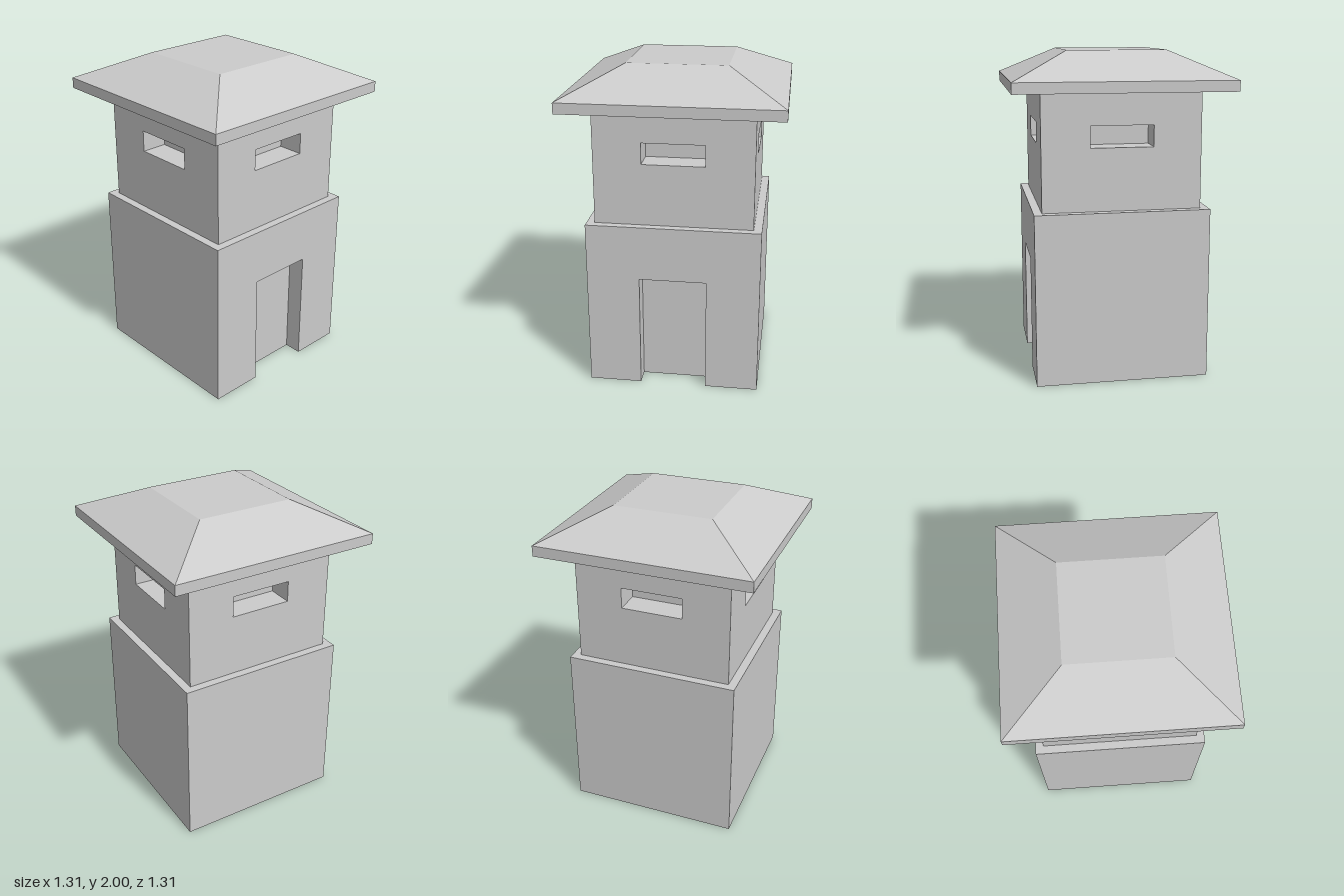
import * as THREE from 'three';

const material = new THREE.MeshStandardMaterial({
  color: 0xcccccc, flatShading: true, side: THREE.DoubleSide,
});

function mesh(name, geometry) {
  const m = new THREE.Mesh(geometry, material);
  m.name = name;
  return m;
}

// Square surface swept through [half width, height] steps, bottom to top
function squareProfile(steps) {
  const points = steps.map(([half, y]) => new THREE.Vector2(half * Math.SQRT2, y));
  const g = new THREE.LatheGeometry(points, 4, Math.PI / 4).toNonIndexed();
  g.computeVertexNormals();
  return g;
}

// Inward-facing niche behind z = 0; the front and optionally the floor are open
function niche(w, y0, y1, depth, hasFloor) {
  const g = new THREE.BoxGeometry(w, y1 - y0, depth);
  const faces = hasFloor ? [0, 1, 2, 3, 5] : [0, 1, 2, 5];
  const old = g.index.array;
  const index = faces.flatMap((f) => Array.from(old.slice(f * 6, f * 6 + 6)));
  g.setIndex(index.reverse());
  g.translate(0, (y0 + y1) / 2, -depth / 2);
  const flat = g.toNonIndexed();
  flat.computeVertexNormals();
  return flat;
}

function polygon(corners) {
  return corners.map(([x, y]) => new THREE.Vector2(x, y));
}

function rectangle(w, y0, y1) {
  return polygon([[-w / 2, y0], [w / 2, y0], [w / 2, y1], [-w / 2, y1]]);
}

export function createModel() {
  const tower = new THREE.Group();
  tower.name = 'watchtower';

  const baseHalf = 0.53, baseTop = 1.06;
  const upperHalf = 0.48, eaveY = 1.77;
  const doorW = 0.41, doorH = 0.72, doorDepth = 0.11;
  const winW = 0.38, winY0 = 1.44, winY1 = 1.57, winDepth = 0.16;

  for (let i = 0; i < 4; i++) {
    const side = new THREE.Group();
    side.name = ['front', 'left', 'back', 'right'][i] + 'Side';
    side.rotation.y = (i * Math.PI) / 2;

    // Base wall, the front one with a doorway cut from its lower edge
    const outline = i === 0
      ? polygon([[-baseHalf, 0], [-doorW / 2, 0], [-doorW / 2, doorH], [doorW / 2, doorH],
        [doorW / 2, 0], [baseHalf, 0], [baseHalf, baseTop], [-baseHalf, baseTop]])
      : rectangle(baseHalf * 2, 0, baseTop);
    const baseWall = mesh('baseWall', new THREE.ShapeGeometry(new THREE.Shape(outline)));
    baseWall.position.z = baseHalf;
    side.add(baseWall);
    if (i === 0) {
      const door = mesh('doorRecess', niche(doorW, 0, doorH, doorDepth, false));
      door.position.z = baseHalf;
      side.add(door);
    }

    // Upper wall with its window slot
    const upper = new THREE.Shape(rectangle(upperHalf * 2, baseTop, eaveY));
    upper.holes.push(new THREE.Path(rectangle(winW, winY0, winY1)));
    const upperWall = mesh('upperWall', new THREE.ShapeGeometry(upper));
    const slot = mesh('windowRecess', niche(winW, winY0, winY1, winDepth, true));
    upperWall.position.z = slot.position.z = upperHalf;
    side.add(upperWall, slot);
    tower.add(side);
  }

  // Step between base and upper storey
  tower.add(mesh('ledge', squareProfile([[baseHalf, baseTop], [upperHalf, baseTop]])));

  // Eave underside, fascia, sloping roof and flat cap
  tower.add(mesh('roof', squareProfile([
    [upperHalf, eaveY], [0.653, eaveY], [0.653, 1.835], [0.302, 2], [0, 2],
  ])));

  return tower;
}
